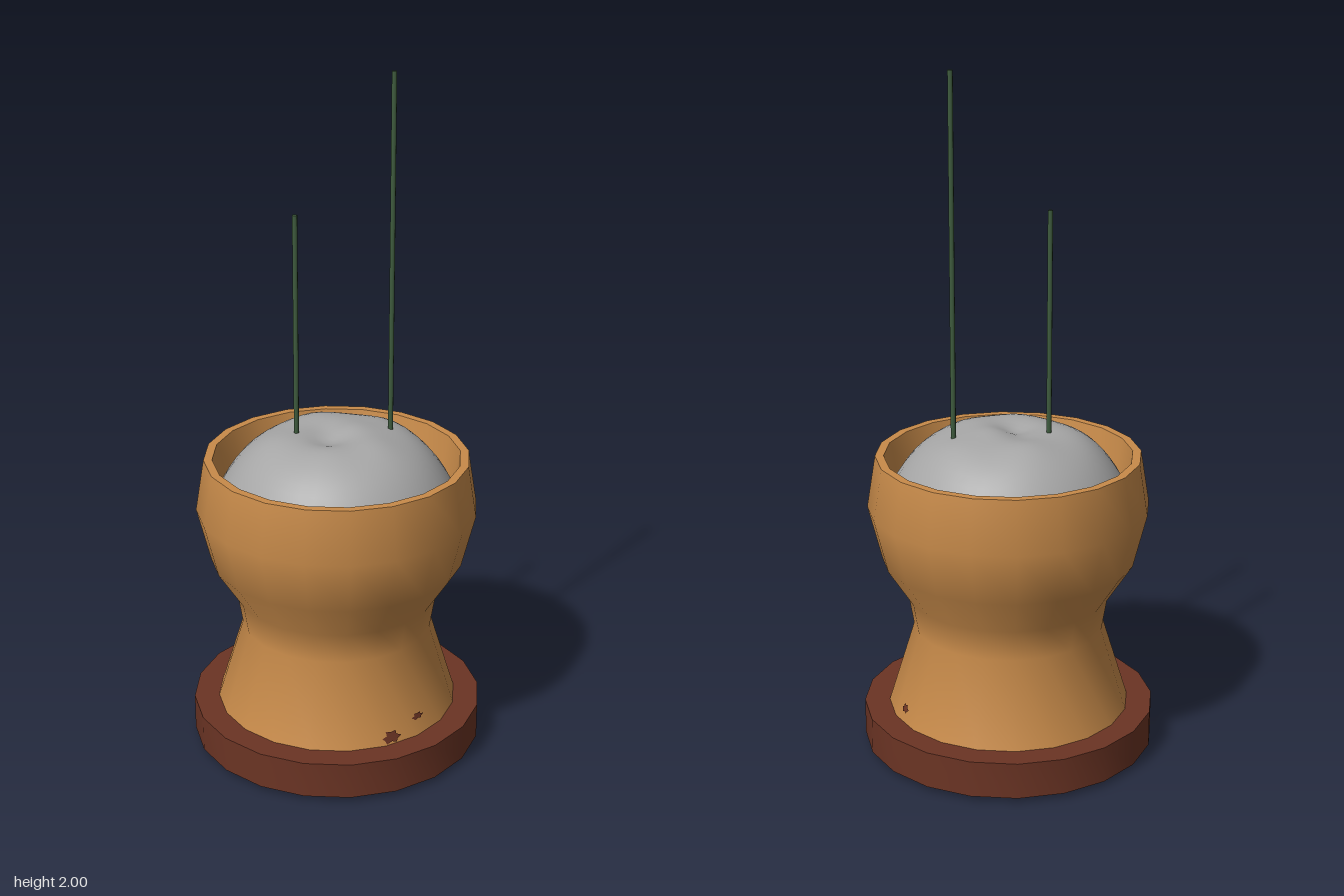
import * as THREE from 'three';
import { toCreasedNormals, mergeVertices } from 'three/addons/utils/BufferGeometryUtils.js';

const SIDES = 20;

function material(name, color, side = THREE.FrontSide) {
  const m = new THREE.MeshStandardMaterial({ color, side });
  m.name = name;
  return m;
}

function lathe(points) {
  const profile = points.map(([r, y]) => new THREE.Vector2(r, y));
  return toCreasedNormals(new THREE.LatheGeometry(profile, SIDES), 0.7);
}

// Lumpy mound: a flattened dome with a few soft bumps and dents
function soilGeometry() {
  const bumps = [ // x, z, height, spread
    [0.03, -0.05, 0.014, 0.07], [-0.13, -0.1, 0.012, 0.08], [0.14, 0.02, 0.01, 0.07],
    [0.0, 0.04, -0.018, 0.05], [-0.05, -0.02, -0.008, 0.05], [-0.14, 0.12, 0.008, 0.08],
    [0.06, 0.14, 0.008, 0.07], [0.06, -0.2, 0.01, 0.08],
  ];
  let g = new THREE.RingGeometry(0, 0.346, 40, 16).rotateX(-Math.PI / 2);
  const p = g.attributes.position;
  for (let i = 0; i < p.count; i++) {
    const x = p.getX(i), z = p.getZ(i);
    let y = 0.755 + 0.207 * (1 - (Math.hypot(x, z) / 0.36) ** 4);
    for (const [bx, bz, h, s] of bumps) {
      y += h * Math.exp(-((x - bx) ** 2 + (z - bz) ** 2) / (s * s));
    }
    p.setY(i, y);
  }
  g.deleteAttribute('uv');
  g.deleteAttribute('normal');
  g = mergeVertices(g, 1e-5);
  g.computeVertexNormals();
  return g;
}

// Ragged patch wrapped on the flared foot of the pot
function chipGeometry(angle, y, width, height) {
  const radii = [1, 0.6, 0.95, 0.7, 1, 0.5, 0.9, 0.75, 1, 0.55, 0.9, 0.7];
  const outline = radii.map((k, i) => {
    const a = (i / radii.length) * Math.PI * 2;
    return new THREE.Vector2(Math.cos(a) * k * width / 2, Math.sin(a) * k * height / 2);
  });
  const g = new THREE.ShapeGeometry(new THREE.Shape(outline));
  const p = g.attributes.position;
  for (let i = 0; i < p.count; i++) {
    const h = y + p.getY(i);
    const r = 0.357 - 0.3 * (h - 0.12) + 0.002;
    const a = angle + p.getX(i) / r;
    p.setXYZ(i, Math.sin(a) * r, h, Math.cos(a) * r);
  }
  g.computeVertexNormals();
  return g;
}

export function createModel() {
  const model = new THREE.Group();
  model.name = 'plantPot';
  const clay = material('clay', 0xc88b4a, THREE.DoubleSide);
  const brown = material('darkBrown', 0x6b3424);
  const grey = material('greySoil', 0xa6a6a6);
  const green = material('stemGreen', 0x3f5c3e);

  function add(name, geometry, mat) {
    const mesh = new THREE.Mesh(geometry, mat);
    mesh.name = name;
    model.add(mesh);
    return mesh;
  }

  // Saucer with a very slightly bulged underside
  add('saucer', lathe([[0, 0], [0.33, 0.008], [0.43, 0.015], [0.43, 0.123], [0.3, 0.123]]), brown);

  // Waisted pot with a flat rim and sloping inner wall
  add('pot', lathe([
    [0.36, 0.11], [0.28, 0.37], [0.296, 0.465], [0.37, 0.58], [0.41, 0.74],
    [0.385, 0.895], [0.36, 0.895], [0.332, 0.75],
  ]), clay);

  add('soil', soilGeometry(), grey);

  // Two bare stems
  for (const [name, x, z, top] of [['tallStem', 0.108, -0.123, 2], ['shortStem', -0.104, 0.052, 1.61]]) {
    const bottom = 0.88;
    const stem = add(name, new THREE.CylinderGeometry(0.0075, 0.0075, top - bottom, 8), green);
    stem.position.set(x, (top + bottom) / 2, z);
  }

  // Worn patches near the foot
  add('chipLarge', chipGeometry(1.0, 0.145, 0.065, 0.042), brown);
  add('chipSmall', chipGeometry(1.29, 0.177, 0.05, 0.022), brown);
  add('chipBack', chipGeometry(2.65, 0.165, 0.04, 0.03), brown);

  return model;
}
